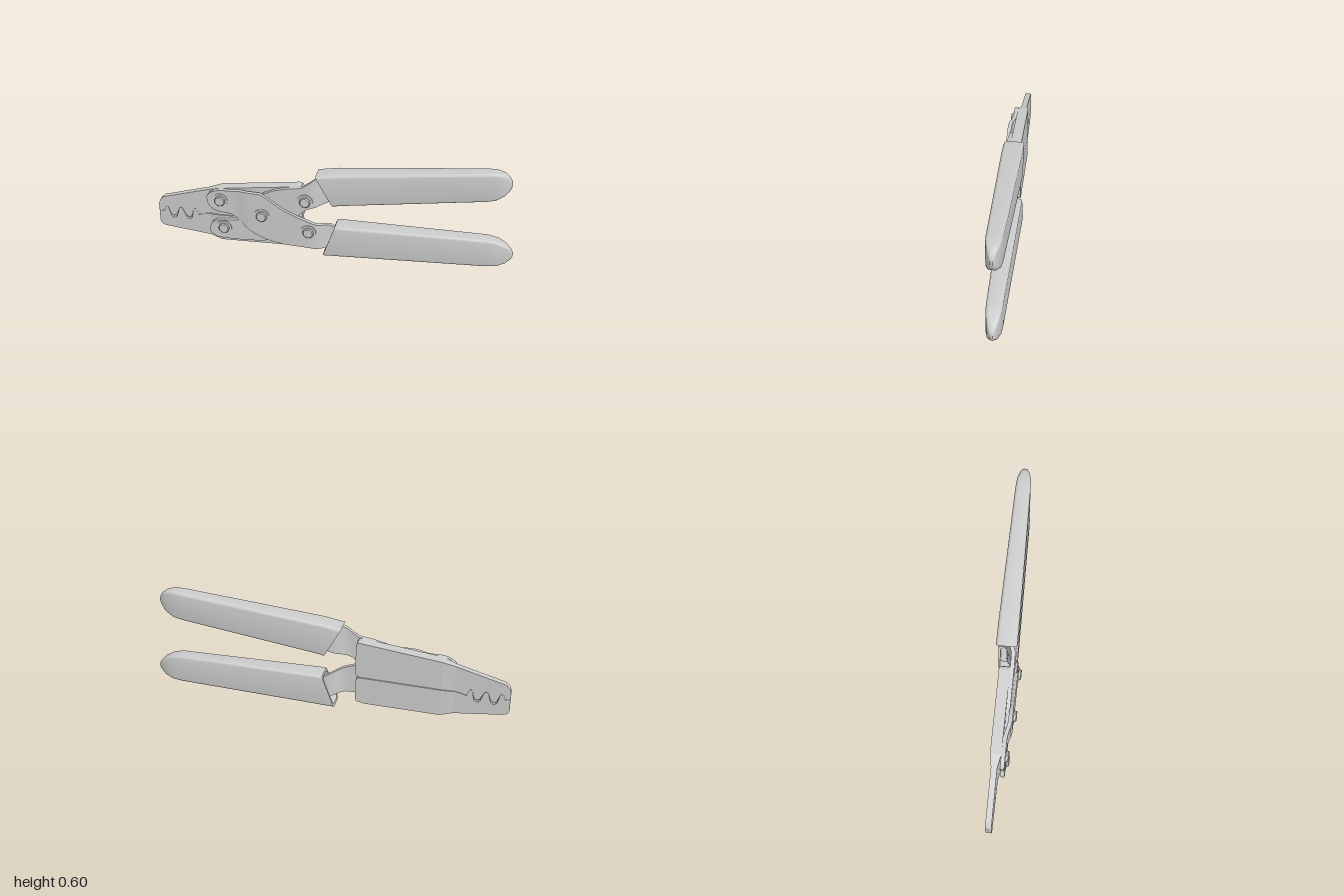
import * as THREE from 'three';
import { toCreasedNormals } from 'three/addons/utils/BufferGeometryUtils.js';

const material = new THREE.MeshStandardMaterial({ color: 0xcccccc });

function add(group, geometry, name) {
  const mesh = new THREE.Mesh(geometry, material);
  mesh.name = name;
  group.add(mesh);
  return mesh;
}

// Skin a series of equal-length rings that run towards +x, with both ends capped
function loft(rings, crease) {
  const n = rings[0].length, index = [];
  for (let s = 0; s < rings.length - 1; s++) {
    for (let i = 0; i < n; i++) {
      const j = (i + 1) % n, a = s * n, b = a + n;
      index.push(a + i, a + j, b + j, a + i, b + j, b + i);
    }
  }
  const last = (rings.length - 1) * n;
  for (let i = 1; i < n - 1; i++) {
    index.push(0, i + 1, i, last, last + i, last + i + 1);
  }
  const geometry = new THREE.BufferGeometry();
  geometry.setAttribute('position', new THREE.Float32BufferAttribute(rings.flat(2), 3));
  geometry.setIndex(index);
  return toCreasedNormals(geometry, crease);
}

// Flat bar with changing height and a jog in depth; stations are [x, low y, high y, z]
function plate(stations, thickness = 0.022) {
  const t = thickness / 2;
  return loft(stations.map(([x, lo, hi, z]) => [
    [x, lo, z - t], [x, hi, z - t], [x, hi, z + t], [x, lo, z + t],
  ]), 0.6);
}

// Rounded rectangle between a low and a high point, half depth h in z
function gripRing([xLo, yLo, xHi, yHi, h], inset = 0, shift = 0) {
  const half = (yHi - yLo) / 2 - inset, depth = h - inset;
  const r = Math.min(0.016, half * 0.8, depth * 0.8);
  const ring = [];
  for (let c = 0; c < 4; c++) {
    for (let k = 0; k <= 4; k++) {
      const a = (c + k / 4) * Math.PI / 2;
      const sy = c === 0 || c === 3 ? 1 : -1, sz = c < 2 ? 1 : -1;
      const y = sy * (half - r) + r * Math.cos(a);
      const z = sz * (depth - r) + r * Math.sin(a);
      const u = y / (yHi - yLo) + 0.5;
      ring.push([xLo + (xHi - xLo) * u + shift, yLo + (yHi - yLo) * u, -0.015 + z]);
    }
  }
  return ring;
}

// Sleeve with a recessed mouth and a tapered, rounded end
function grip(stations) {
  const mouth = stations[0];
  return loft([
    gripRing(mouth, 0.012, 0.04), gripRing(mouth, 0.012), ...stations.map((s) => gripRing(s)),
  ], 0.5);
}

function slab(points, back, front) {
  const shape = new THREE.Shape(points.map(([x, y]) => new THREE.Vector2(x, y)));
  return new THREE.ExtrudeGeometry(shape, { depth: front - back, bevelEnabled: false }).translate(0, 0, back);
}

export function createModel() {
  const model = new THREE.Group();
  model.name = 'crimpingPliers';

  // Jaws: toothed thin nose, flared middle and thick body on either side of the parting line
  const teeth = [
    [-1, 0.176], [-0.97, 0.176], [-0.962, 0.202], [-0.953, 0.208], [-0.945, 0.2], [-0.93, 0.146],
    [-0.92, 0.138], [-0.908, 0.138], [-0.898, 0.146], [-0.88, 0.202], [-0.87, 0.208], [-0.86, 0.202],
    [-0.84, 0.147], [-0.83, 0.14], [-0.818, 0.14], [-0.808, 0.147], [-0.795, 0.207], [-0.785, 0.212],
    [-0.765, 0.17], [-0.74, 0.18], [-0.7, 0.187],
  ];
  const jaws = [
    {
      name: 'upperJaw', part: [0.187, 0.193, 0.205], edge: [0.342, 0.364, 0.422], gap: 0.002,
      tip: [[-0.97, 0.267], [-0.99, 0.246], [-1, 0.219]], line: teeth.map(([x, y]) => [x, y < 0.15 ? y + 0.013 : y + 0.002]),
    },
    {
      name: 'lowerJaw', part: [0.187, 0.193, 0.205], edge: [0.048, 0.032, 0.043], gap: -0.002,
      tip: [[-0.97, 0.08], [-0.99, 0.088], [-1, 0.102]], line: teeth,
    },
  ];
  for (const { name, part, edge, gap, tip, line } of jaws) {
    const jaw = new THREE.Group();
    jaw.name = name;
    model.add(jaw);
    add(jaw, slab([...line, [-0.7, edge[0]], ...tip], -0.033, 0), name + 'Nose');
    const flare = [[-0.7, part[0], -0.033, 0], [-0.63, part[1], -0.045, 0.015]].map(([x, p, back, front], i) => {
      const lo = Math.min(p + gap, edge[i]), hi = Math.max(p + gap, edge[i]);
      return [[x, lo, back], [x, hi, back], [x, hi, front], [x, lo, front]];
    });
    add(jaw, loft(flare, 0.3), name + 'Flare');
    const s = Math.sign(gap);
    add(jaw, slab([
      [-0.63, part[1] + gap], [-0.185, part[2] + gap], [-0.167, part[2] + s * 0.007], [-0.16, part[2] + s * 0.022],
      [-0.16, edge[2] - s * 0.02], [-0.167, edge[2] - s * 0.006], [-0.185, edge[2] - s * 0.003],
      ...(s < 0 ? [[-0.21, 0.04]] : []), [-0.63, edge[1]],
    ], -0.045, 0.015), name + 'Body');
  }

  // Crossing levers; the lower handle's lever steps over the other one
  add(model, plate([
    [-0.7, 0.28, 0.32, 0.025], [-0.687, 0.257, 0.337, 0.025], [-0.66, 0.235, 0.355, 0.025],
    [-0.62, 0.225, 0.364, 0.025], [-0.565, 0.22, 0.364, 0.025], [-0.535, 0.202, 0.366, 0.026],
    [-0.51, 0.18, 0.37, 0.03], [-0.48, 0.153, 0.372, 0.039], [-0.447, 0.128, 0.372, 0.043],
    [-0.393, 0.1, 0.37, 0.043], [-0.365, 0.088, 0.356, 0.043], [-0.34, 0.08, 0.337, 0.043],
    [-0.26, 0.064, 0.283, 0.043], [-0.18, 0.06, 0.246, 0.043], [-0.09, 0.055, 0.213, 0.043],
    [-0.07, 0.053, 0.207, 0.038], [-0.04, 0.048, 0.198, 0.015], [-0.01, 0.04, 0.188, -0.01],
    [0.015, 0.04, 0.175, -0.015], [0.12, 0.04, 0.165, -0.015],
  ]), 'lowerHandleLever');
  add(model, plate([
    [-0.693, 0.096, 0.123, 0.025], [-0.676, 0.075, 0.155, 0.025], [-0.65, 0.06, 0.17, 0.025],
    [-0.607, 0.056, 0.176, 0.025], [-0.527, 0.056, 0.182, 0.025], [-0.473, 0.058, 0.246, 0.025],
    [-0.42, 0.06, 0.315, 0.025], [-0.377, 0.064, 0.365, 0.025], [-0.313, 0.1, 0.393, 0.025],
    [-0.233, 0.19, 0.412, 0.025], [-0.163, 0.267, 0.422, 0.025], [-0.126, 0.294, 0.447, 0.025],
    [-0.1, 0.303, 0.468, 0.024], [-0.075, 0.31, 0.485, 0.014], [-0.045, 0.32, 0.485, -0.006],
    [-0.015, 0.332, 0.48, -0.015], [0.12, 0.365, 0.48, -0.015],
  ]), 'upperHandleLever');

  // Hand grips
  add(model, grip([
    [0.013, 0.324, -0.083, 0.5, 0.056], [0.05, 0.332, 0.035, 0.52, 0.056], [0.83, 0.433, 0.82, 0.6, 0.042],
    [0.88, 0.443, 0.875, 0.603, 0.038], [0.925, 0.468, 0.918, 0.595, 0.027], [0.95, 0.5, 0.945, 0.574, 0.015],
    [0.96, 0.525, 0.958, 0.55, 0.006],
  ]), 'upperGrip');
  add(model, grip([
    [-0.045, 0.002, 0.024, 0.193, 0.056], [0.05, 0.006, 0.055, 0.197, 0.056], [0.86, 0.03, 0.86, 0.198, 0.042],
    [0.915, 0.035, 0.915, 0.187, 0.038], [0.962, 0.052, 0.962, 0.164, 0.027], [0.99, 0.076, 0.99, 0.135, 0.015],
    [1, 0.097, 1, 0.115, 0.006],
  ]), 'lowerGrip');

  // Rivets: thin washer under a chamfered head
  const profile = [[0, -0.01], [0.043, -0.01], [0.043, 0.004], [0.03, 0.004], [0.03, 0.013], [0.025, 0.018], [0, 0.018]]
    .map(([r, h]) => new THREE.Vector2(r, h));
  const rivet = toCreasedNormals(new THREE.LatheGeometry(profile, 32).rotateX(Math.PI / 2), 0.5);
  const spots = [
    [-0.623, 0.3, 0.036], [-0.608, 0.128, 0.036], [-0.383, 0.236, 0.054], [-0.14, 0.342, 0.036], [-0.12, 0.16, 0.054],
  ];
  for (const [x, y, z] of spots) add(model, rivet, 'rivet').position.set(x, y, z);

  return model;
}
